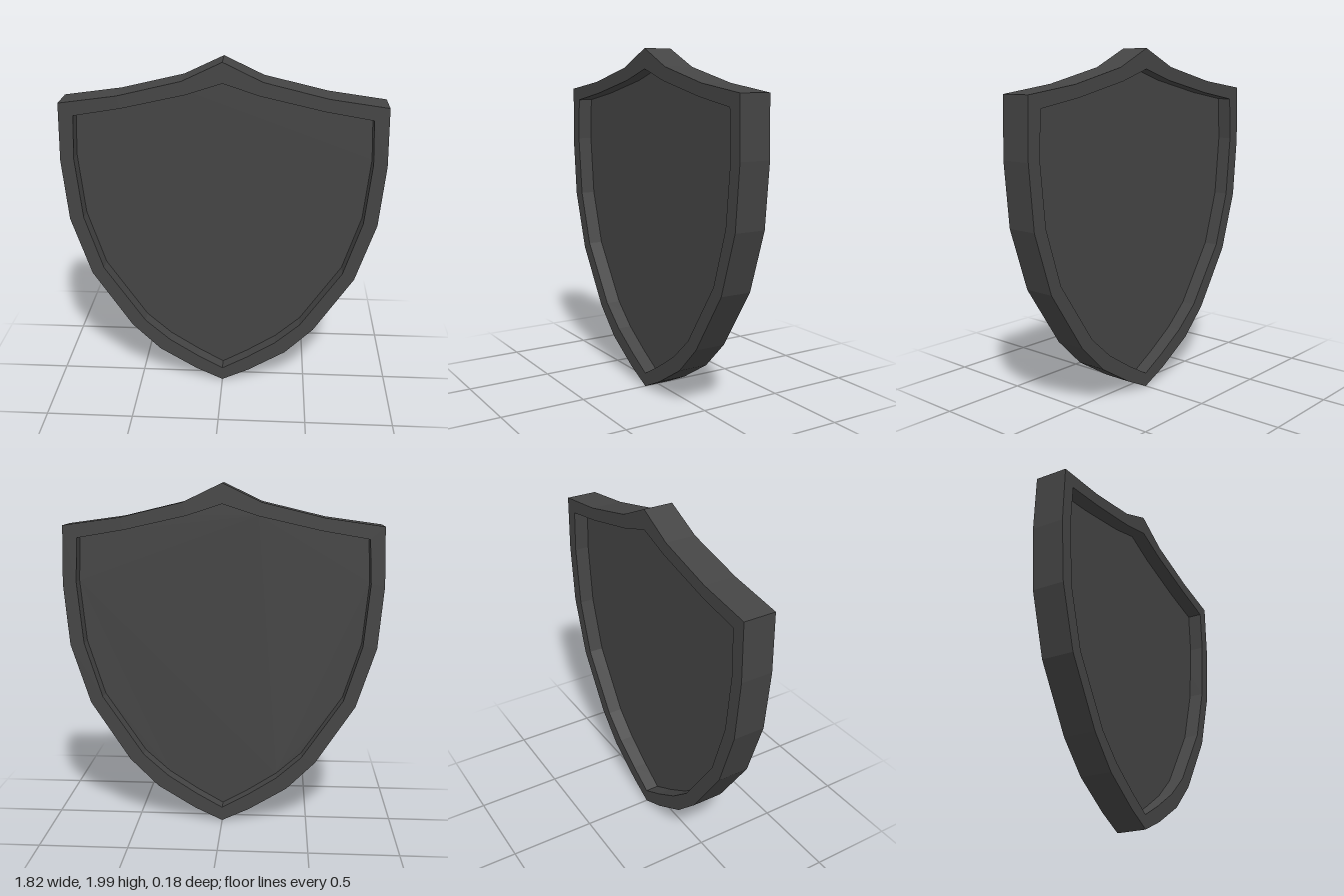
import * as THREE from 'three';

// Half outlines, from the top point down to the bottom tip
const OUTER = [[0, 2], [0.22, 1.895], [0.575, 1.81], [0.9, 1.765], [0.91, 1.435], [0.88, 1.08],
  [0.77, 0.735], [0.545, 0.39], [0.38, 0.225], [0.16, 0.09], [0, 0.014]];
const INNER = [[0, 1.885], [0.2, 1.82], [0.555, 1.74], [0.82, 1.695], [0.833, 1.445], [0.8, 1.09],
  [0.7, 0.77], [0.465, 0.42], [0.32, 0.29], [0.15, 0.18], [0, 0.095]];

const PANEL_HALF = 0.005;

// Mirrors a half outline into a closed loop, clockwise from the front
function closedLoop(half) {
  const mirrored = half.slice(1, -1).reverse().map(([x, y]) => [-x, y]);
  return [...half, ...mirrored].map(([x, y]) => new THREE.Vector2(x, y));
}

// The rim is a touch thinner near the centre line
const rimHalf = (x) => 0.086 + 0.006 * Math.min(1, Math.abs(x) / 0.575);

// Sweeps a four-cornered section round the shield, mitred at every corner
function rimGeometry(outer, inner) {
  const rings = [[inner, 1], [outer, 1], [outer, -1], [inner, -1]];
  const n = outer.length;
  const positions = [];
  const index = [];
  rings.forEach(([loop, side], r) => {
    const next = (r + 1) % rings.length;
    loop.forEach((p, i) => {
      const j = (i + 1) % n;
      positions.push(p.x, p.y, side * rimHalf(p.x));
      const [a, b, c, d] = [r * n + i, next * n + i, next * n + j, r * n + j];
      index.push(a, d, c, a, c, b);
    });
  });
  const indexed = new THREE.BufferGeometry();
  indexed.setAttribute('position', new THREE.Float32BufferAttribute(positions, 3));
  indexed.setIndex(index);
  const geometry = indexed.toNonIndexed();
  geometry.computeVertexNormals();
  return geometry;
}

export function createModel() {
  const group = new THREE.Group();
  group.name = 'shield';
  const material = new THREE.MeshStandardMaterial({ color: 0x444444, flatShading: true });
  const inner = closedLoop(INNER);

  // Raised rim
  const rim = new THREE.Mesh(rimGeometry(closedLoop(OUTER), inner), material);
  rim.name = 'rim';

  // Thin panel, recessed on the front and the back
  const panelGeometry = new THREE.ExtrudeGeometry(new THREE.Shape(inner),
    { depth: 2 * PANEL_HALF, bevelEnabled: false });
  const panel = new THREE.Mesh(panelGeometry.translate(0, 0, -PANEL_HALF), material);
  panel.name = 'panel';

  group.add(rim, panel);
  return group;
}
